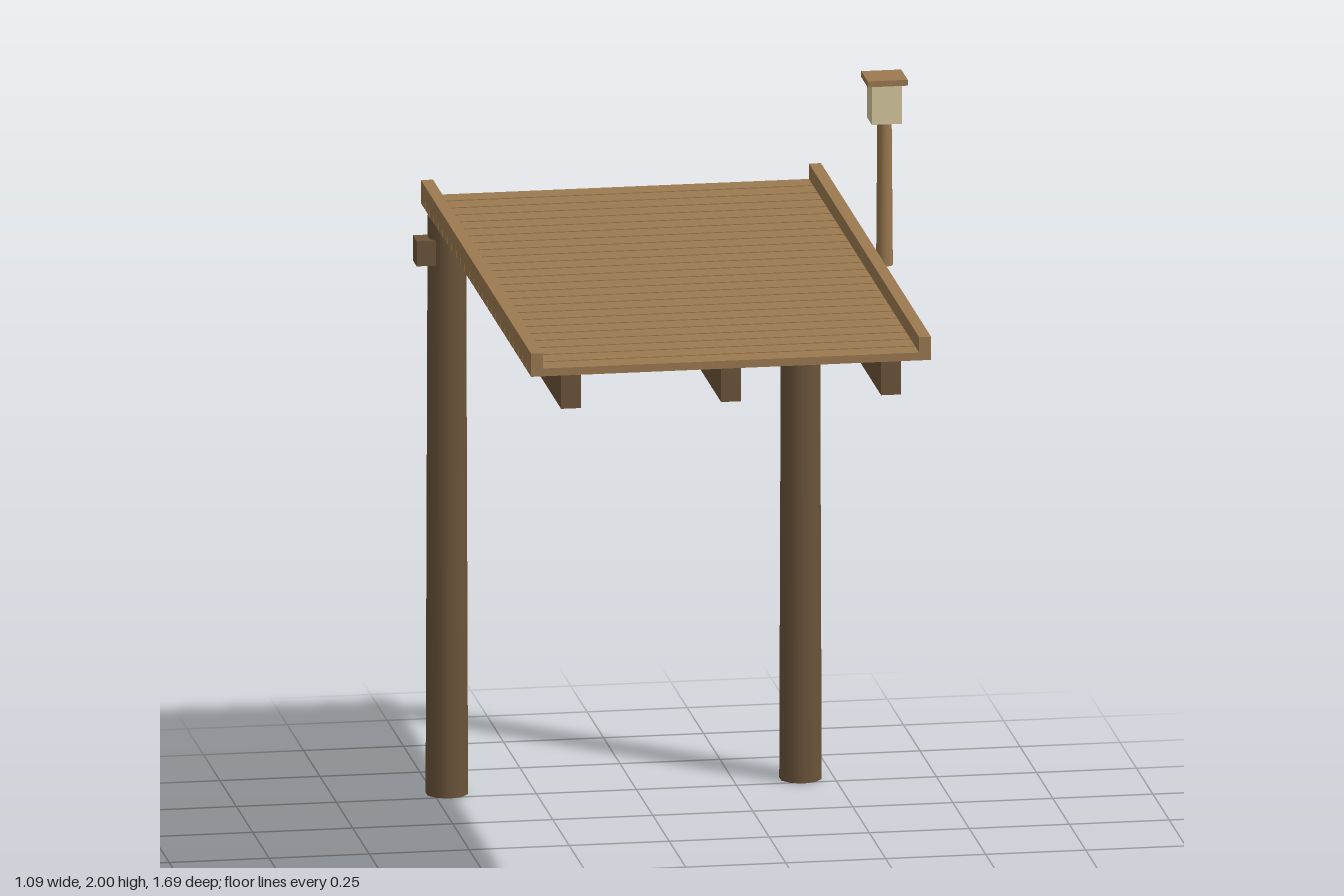
import * as THREE from 'three';

export function createModel() {
  const model = new THREE.Group();
  model.name = 'pier';

  const material = (name, color) => {
    const m = new THREE.MeshStandardMaterial({ color });
    m.name = name;
    return m;
  };
  const deckWood = material('deck wood', 0x9b7a50);
  const darkWood = material('dark wood', 0x6b543a);
  const lampGlass = material('lamp glass', 0xd6c9a0);

  const add = (name, geometry, mat, x, y, z, parent = model) => {
    const mesh = new THREE.Mesh(geometry, mat);
    mesh.name = name;
    mesh.position.set(x, y, z);
    parent.add(mesh);
    return mesh;
  };
  const box = (w, h, d) => new THREE.BoxGeometry(w, h, d);

  const cx = -0.025;      // deck centre across
  const cz = 0.006;       // deck centre along
  const length = 1.678;
  const pileZ = -0.792;

  // Two round piles under the back end, joined by a cross beam
  for (const side of [-1, 1]) {
    add(side < 0 ? 'rightPile' : 'leftPile',
      new THREE.CylinderGeometry(0.048, 0.053, 1.475, 10), darkWood,
      cx + side * 0.442, 0.7375, pileZ);
  }
  add('crossBeam', box(1.045, 0.064, 0.06), darkWood, cx, 1.389, pileZ + 0.003);

  // Stringers running the length of the deck
  for (const offset of [-0.4, 0, 0.4]) {
    add('stringer', box(0.05, 0.085, length), darkWood, cx + offset, 1.4555, cz);
  }

  // Deck planks with narrow gaps
  const planks = new THREE.Group();
  planks.name = 'deckPlanks';
  model.add(planks);
  const count = 25, gap = 0.008;
  const pitch = (length + gap) / count;
  for (let i = 0; i < count; i++) {
    add('plank', box(1, 0.02, pitch - gap), deckWood,
      cx, 1.508, cz + (i - (count - 1) / 2) * pitch, planks);
  }

  // Curbs along both edges
  for (const side of [-1, 1]) {
    add(side < 0 ? 'rightCurb' : 'leftCurb',
      box(0.03, 0.039, length), deckWood, cx + side * 0.485, 1.5375, cz);
  }

  // Lamp post beside the left edge
  const lamp = new THREE.Group();
  lamp.name = 'lampPost';
  lamp.position.set(0.497, 0, 0);
  model.add(lamp);
  add('post', new THREE.CylinderGeometry(0.018, 0.021, 0.37, 8), deckWood, 0, 1.702, 0, lamp);
  add('lantern', box(0.075, 0.1, 0.075), lampGlass, 0, 1.935, 0, lamp);
  add('lanternCap', box(0.1, 0.015, 0.1), deckWood, 0, 1.9925, 0, lamp);

  return model;
}
